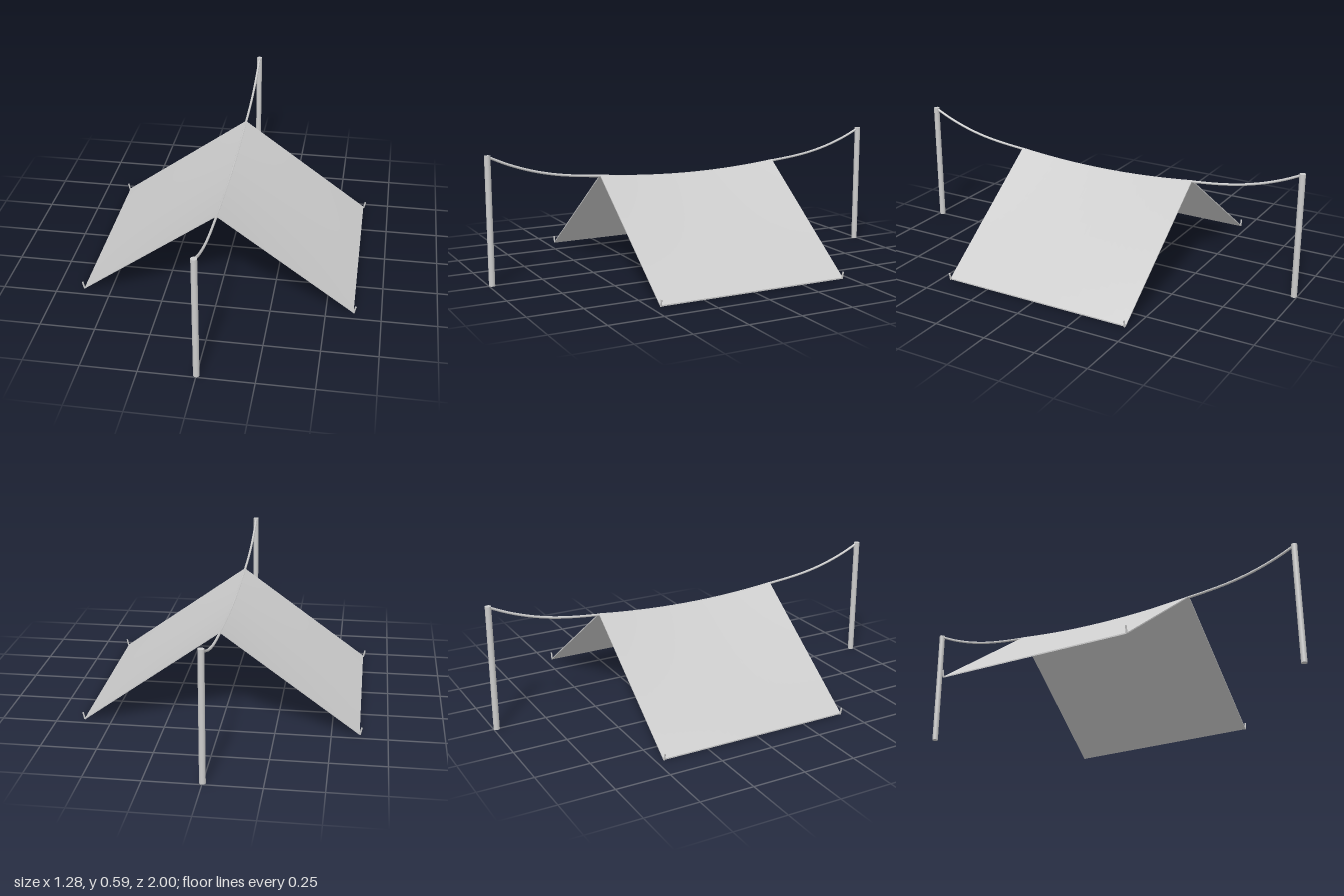
import * as THREE from 'three';

const POST_Z = 0.986, POST_H = 0.587;
const SHEET_BACK = -0.467, SHEET_FRONT = 0.458, FOOT_X = 0.625;

// height of the sagging ridge of the sheet at a given z
const ridgeY = z => 0.434 + 0.026 * (z / 0.46) ** 2;

export function createModel() {
  const group = new THREE.Group();
  const material = new THREE.MeshStandardMaterial({ color: 0xcccccc });
  const add = (name, geometry) => {
    const mesh = new THREE.Mesh(geometry, material);
    mesh.name = name;
    group.add(mesh);
    return mesh;
  };

  // upright posts at both ends
  for (const s of [1, -1]) {
    add(s > 0 ? 'frontPost' : 'backPost', new THREE.CylinderGeometry(0.014, 0.014, POST_H, 16))
      .position.set(0, POST_H / 2, s * POST_Z);
  }

  // sagging rope between the post tops, running under the sheet's ridge
  const half = [[0.986, 0.582], [0.9, 0.543], [0.8, 0.508], [0.7, 0.483], [0.6, 0.467], [0.46, 0.453], [0.23, 0.434]];
  const points = [
    ...half.map(([z, y]) => new THREE.Vector3(0, y, z)),
    new THREE.Vector3(0, 0.428, 0),
    ...half.map(([z, y]) => new THREE.Vector3(0, y, -z)).reverse(),
  ];
  add('ridgeRope', new THREE.TubeGeometry(new THREE.CatmullRomCurve3(points), 64, 0.006, 8));

  // two thin sheet halves, sloping straight from the sagging ridge to the ground
  const depth = SHEET_FRONT - SHEET_BACK;
  for (const s of [1, -1]) {
    const geometry = new THREE.BoxGeometry(FOOT_X, 0.006, depth, 12, 1, 24);
    geometry.translate(s * FOOT_X / 2, -0.003, (SHEET_FRONT + SHEET_BACK) / 2);
    const p = geometry.attributes.position;
    for (let i = 0; i < p.count; i++) {
      const t = Math.abs(p.getX(i)) / FOOT_X;
      p.setY(i, p.getY(i) + 0.006 * t + ridgeY(p.getZ(i)) * (1 - t));
    }
    geometry.computeVertexNormals();
    add(s > 0 ? 'leftSheet' : 'rightSheet', geometry);
  }

  // short pegs leaning outward at the four corners
  for (const s of [1, -1]) {
    for (const z of [SHEET_BACK + 0.004, SHEET_FRONT - 0.002]) {
      const peg = add('cornerPeg', new THREE.CylinderGeometry(0.004, 0.004, 0.034, 8));
      peg.position.set(s * 0.63, 0.0175, z);
      peg.rotation.z = -s * 0.22;
    }
  }

  return group;
}
